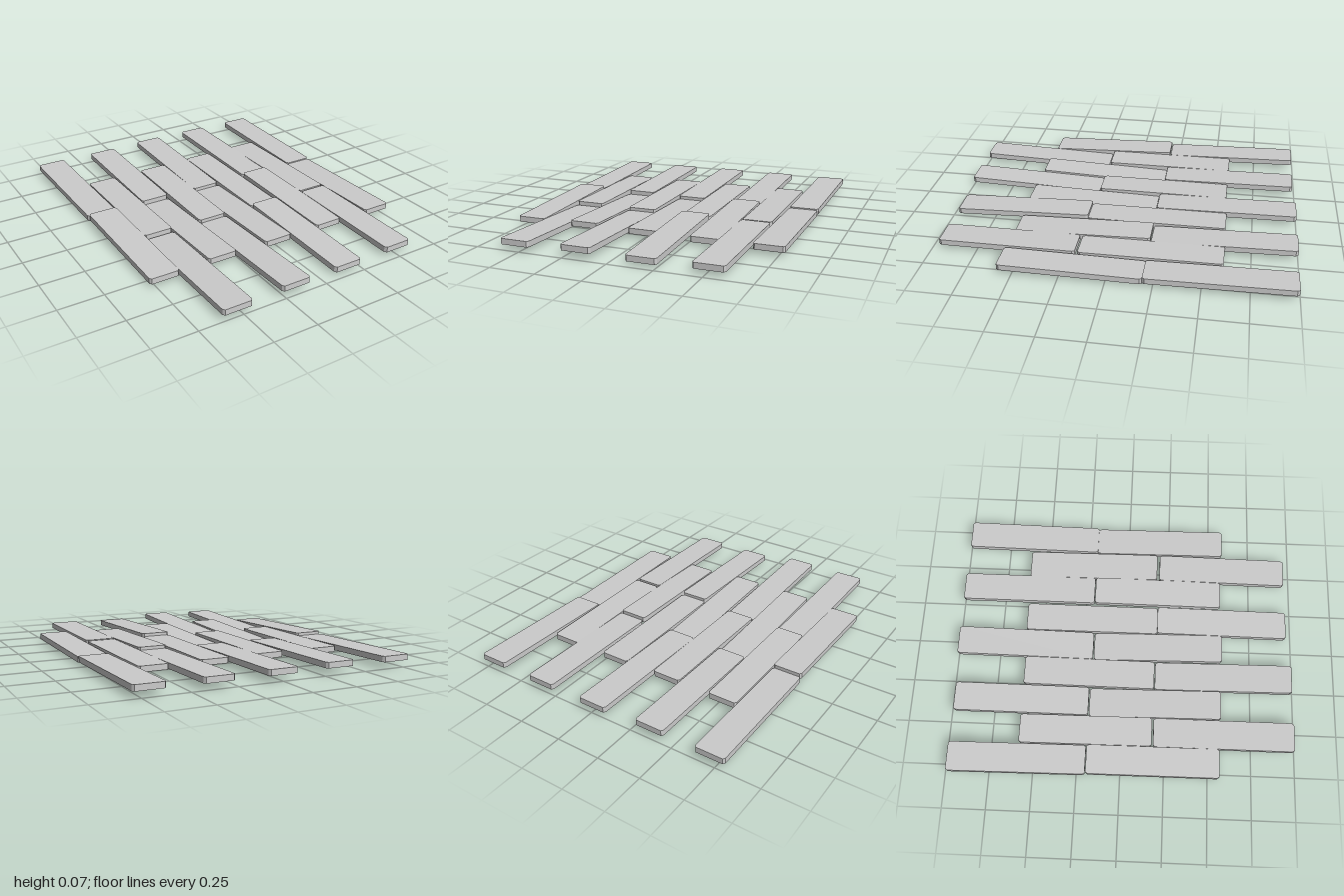
import * as THREE from 'three';

const WIDTH = 0.168;
const THICK = 0.032;

// Each plank: [x back, x front, z back, z front, height back, height front] (centre line)
const planks = {
  backPlank: [
    [-0.712, -0.702, -0.99, -0.2, 0.05, 0.038],
    [-0.355, -0.355, -0.985, -0.2, 0.05, 0.04],
    [-0.004, -0.009, -1.0, -0.19, 0.05, 0.037],
    [0.35, 0.355, -1.0, -0.2, 0.049, 0.036],
    [0.706, 0.702, -0.995, -0.195, 0.049, 0.036],
  ],
  innerBackPlank: [
    [-0.531, -0.526, -0.59, 0.175, 0.04, 0.042],
    [-0.177, -0.182, -0.59, 0.18, 0.041, 0.04],
    [0.166, 0.166, -0.6, 0.19, 0.04, 0.038],
    [0.518, 0.524, -0.605, 0.18, 0.04, 0.041],
  ],
  innerFrontPlank: [
    [-0.7, -0.694, -0.195, 0.567, 0.054, 0.034],
    [-0.355, -0.353, -0.195, 0.575, 0.016, 0.046],
    [-0.006, 0.0, -0.185, 0.58, 0.02, 0.043],
    [0.35, 0.354, -0.195, 0.57, 0.053, 0.035],
    [0.699, 0.701, -0.195, 0.58, 0.029, 0.04],
  ],
  frontPlank: [
    [-0.523, -0.528, 0.185, 0.997, 0.021, 0.046],
    [-0.18, -0.18, 0.185, 0.99, 0.023, 0.053],
    [0.165, 0.168, 0.19, 0.967, 0.056, 0.033],
    [0.522, 0.515, 0.195, 0.96, 0.043, 0.039],
  ],
};

// Board with clipped corners, sheared so its ends reach the given points
function plankGeometry([xBack, xFront, zBack, zFront, yBack, yFront]) {
  const w = WIDTH / 2, c = 0.009;
  const outline = [
    [-w + c, zBack], [w - c, zBack], [w, zBack + c * 1.5], [w, zFront - c * 1.5],
    [w - c, zFront], [-w + c, zFront], [-w, zFront - c * 1.5], [-w, zBack + c * 1.5],
  ].map(([x, z]) => new THREE.Vector2(x, z));
  const geo = new THREE.ExtrudeGeometry(new THREE.Shape(outline), { depth: THICK, bevelEnabled: false });
  geo.rotateX(Math.PI / 2);
  geo.translate(0, THICK / 2, 0);
  const pos = geo.attributes.position;
  for (let i = 0; i < pos.count; i++) {
    const t = (pos.getZ(i) - zBack) / (zFront - zBack);
    pos.setX(i, pos.getX(i) + THREE.MathUtils.lerp(xBack, xFront, t));
    pos.setY(i, pos.getY(i) + THREE.MathUtils.lerp(yBack, yFront, t));
  }
  geo.computeVertexNormals();
  return geo;
}

export function createModel() {
  const model = new THREE.Group();
  model.name = 'plankFloor';
  const material = new THREE.MeshStandardMaterial({ color: 0xcccccc, flatShading: true });

  // Staggered rows of loosely laid boards
  for (const [name, row] of Object.entries(planks)) {
    row.forEach((spec, i) => {
      const mesh = new THREE.Mesh(plankGeometry(spec), material);
      mesh.name = `${name}${i + 1}`;
      model.add(mesh);
    });
  }
  return model;
}
